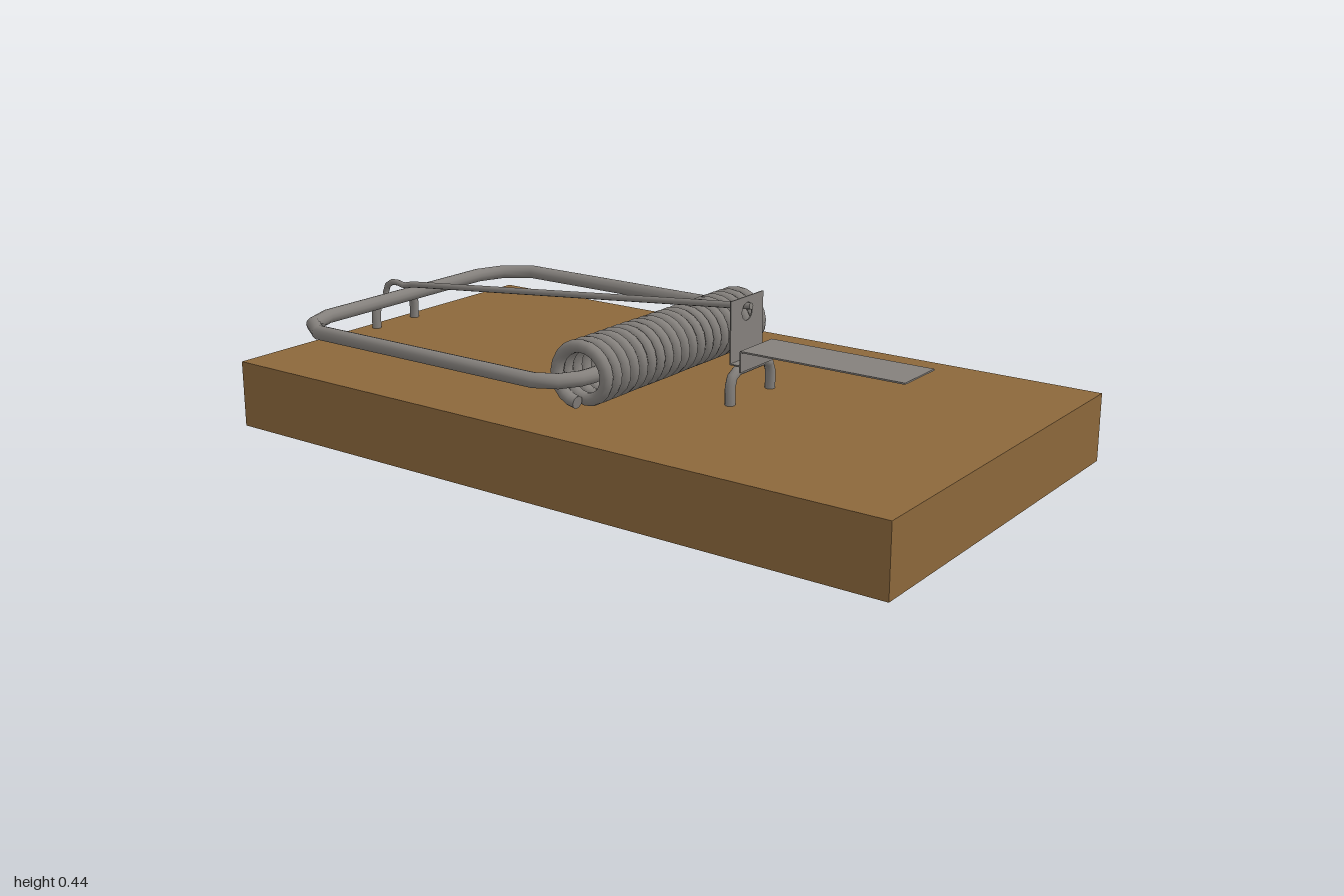
import * as THREE from 'three';

const wood = new THREE.MeshStandardMaterial({ color: 0x8b673b, side: THREE.FrontSide });
wood.name = 'wood';
const steel = new THREE.MeshStandardMaterial({ color: 0x84807c, side: THREE.DoubleSide });
steel.name = 'steel';

// Curve that puts one tube ring exactly on each given point, mitred at bends
class WirePath extends THREE.Curve {
  constructor(points, closed) {
    super();
    this.points = points;
    this.closed = closed;
    this.count = closed ? points.length : points.length - 1;
  }
  at(i) {
    const n = this.points.length;
    return this.points[this.closed ? (i + n) % n : Math.min(Math.max(i, 0), n - 1)];
  }
  getPointAt(u, target = new THREE.Vector3()) {
    return target.copy(this.at(Math.round(u * this.count)));
  }
  getTangentAt(u, target = new THREE.Vector3()) {
    const i = Math.round(u * this.count);
    const before = this.at(i).clone().sub(this.at(i - 1)).normalize();
    const after = this.at(i + 1).clone().sub(this.at(i)).normalize();
    return target.copy(before.add(after)).normalize();
  }
}

// Bent round wire with flat ends
function wire(name, coords, radius, closed = false, sides = 12) {
  const path = new WirePath(coords.map(c => new THREE.Vector3(...c)), closed);
  const group = new THREE.Group();
  group.name = name;
  const tube = new THREE.Mesh(new THREE.TubeGeometry(path, path.count, radius, sides, closed), steel);
  tube.name = name + 'Wire';
  group.add(tube);
  if (!closed) {
    for (const u of [0, 1]) {
      const cap = new THREE.Mesh(new THREE.CircleGeometry(radius, sides), steel);
      cap.name = name + 'End';
      const outward = path.getTangentAt(u).multiplyScalar(u ? 1 : -1);
      cap.position.copy(path.getPointAt(u));
      cap.quaternion.setFromUnitVectors(new THREE.Vector3(0, 0, 1), outward);
      group.add(cap);
    }
  }
  return group;
}

// U-shaped staple driven into the board
function staple(name, halfWidth, top, z, radius) {
  const side = [[halfWidth, 0.17], [halfWidth, top - 0.035], [halfWidth - 0.009, top - 0.012], [halfWidth - 0.032, top]];
  const left = side.map(([x, y]) => [x, y, z]);
  const right = side.map(([x, y]) => [-x, y, z]).reverse();
  return wire(name, [...left, ...right], radius);
}

function box(name, w, h, d, x, y, z, material) {
  const mesh = new THREE.Mesh(new THREE.BoxGeometry(w, h, d), material);
  mesh.name = name;
  mesh.position.set(x, y, z);
  return mesh;
}

export function createModel() {
  const model = new THREE.Group();
  model.name = 'springTrap';

  // Wooden board
  model.add(box('board', 1.1, 0.182, 1.993, 0, 0.091, 0.0035, wood));

  // Coil spring across the board
  const turns = 20, steps = 20, coil = [];
  for (let i = 0; i <= turns * steps; i++) {
    const a = (i / steps) * Math.PI * 2;
    coil.push([-0.36 + 0.72 * i / (turns * steps), 0.276 - 0.07 * Math.cos(a), 0.02 - 0.07 * Math.sin(a)]);
  }
  model.add(wire('spring', coil, 0.017, false, 10));

  // Rounded rectangular hammer loop, mirrored about the middle
  const half = [[0.33, 0.04], [0.365, 0.034], [0.415, 0.005], [0.443, -0.05],
    [0.443, -0.8], [0.392, -0.876], [0.31, -0.908]];
  const loop = [
    ...half.map(([x, z]) => [x, 0.271, z]),
    ...half.map(([x, z]) => [-x, 0.271, z]).reverse(),
  ];
  model.add(wire('hammerBar', loop, 0.02, true));

  // Staples at the trigger and at the back edge
  model.add(staple('triggerStaple', 0.092, 0.264, 0.291, 0.0135));
  model.add(staple('rearStaple', 0.078, 0.262, -0.955, 0.0135));

  // Holding rod with a hook around the rear staple
  model.add(wire('holdingRod', [
    [0, 0.417, 0.29], [0, 0.306, -0.88], [0, 0.298, -0.915], [0, 0.303, -0.94], [0, 0.302, -0.962],
    [0, 0.29, -0.982], [0, 0.267, -0.991], [0, 0.246, -0.984], [0, 0.235, -0.97],
  ], 0.009, false, 8));

  // Trigger plate: upright tab with a hole, folded over the staple into a pedal
  const trigger = new THREE.Group();
  trigger.name = 'trigger';
  const tab = new THREE.Shape();
  tab.moveTo(-0.073, 0.28);
  tab.lineTo(0.073, 0.28);
  tab.lineTo(0.073, 0.441);
  tab.lineTo(-0.073, 0.441);
  tab.closePath();
  const hole = new THREE.Path();
  hole.absarc(0, 0.402, 0.023, 0, Math.PI * 2, true);
  tab.holes.push(hole);
  const upright = new THREE.Mesh(
    new THREE.ExtrudeGeometry(tab, { depth: 0.003, bevelEnabled: false, curveSegments: 16 }), steel);
  upright.name = 'triggerTab';
  upright.position.z = 0.275;
  trigger.add(upright);
  trigger.add(box('triggerFold', 0.146, 0.003, 0.032, 0, 0.28, 0.291, steel));
  trigger.add(box('triggerStep', 0.146, 0.055, 0.003, 0, 0.291, 0.307, steel));
  trigger.add(box('triggerPedal', 0.146, 0.004, 0.46, 0, 0.317, 0.536, steel));
  model.add(trigger);

  return model;
}
